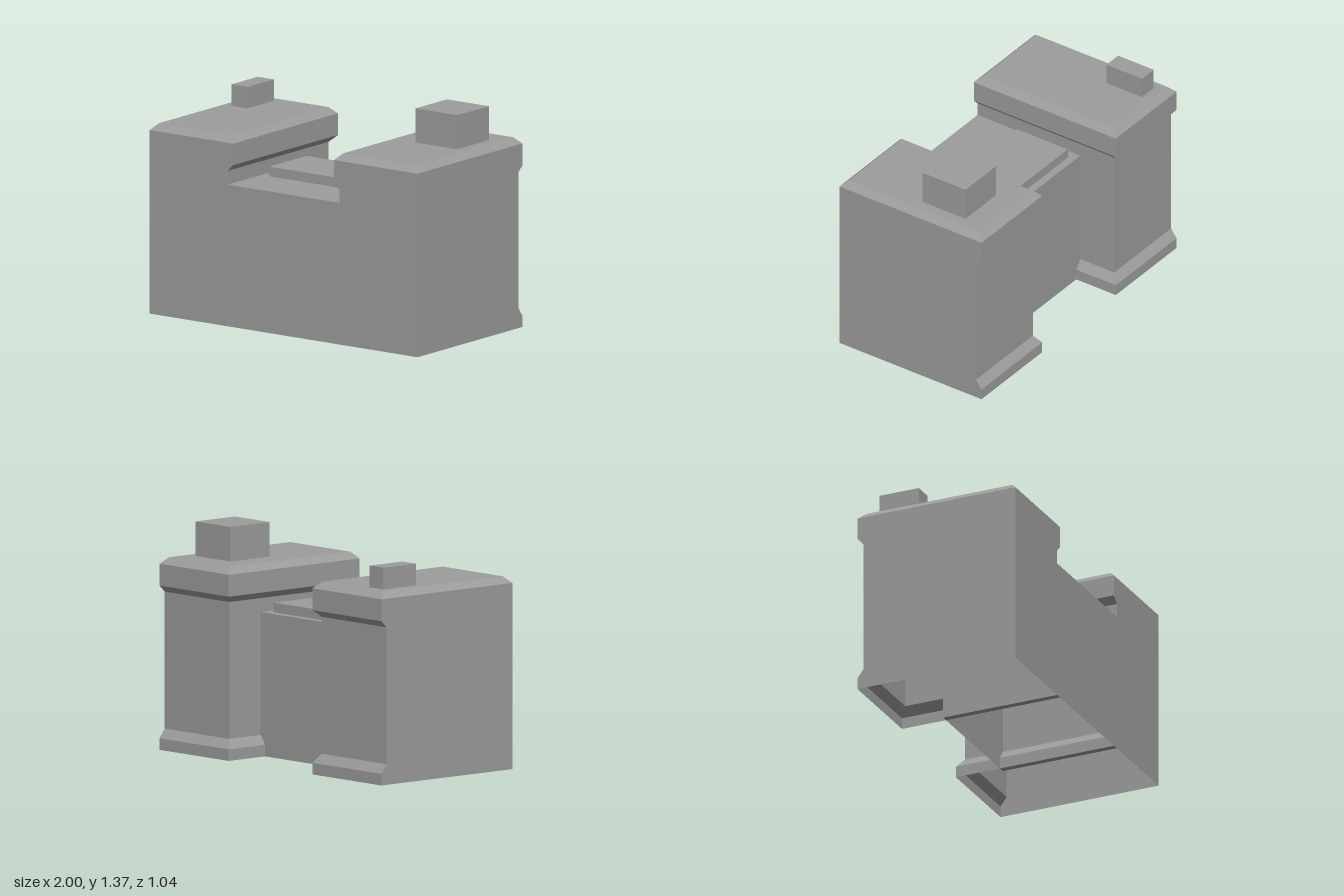
import * as THREE from 'three';

const material = new THREE.MeshStandardMaterial({ color: 0x9c9c9c, flatShading: true, side: THREE.DoubleSide });

function addMesh(parent, name, geometry, x = 0, y = 0, z = 0) {
  const mesh = new THREE.Mesh(geometry, material);
  mesh.name = name;
  mesh.position.set(x, y, z);
  parent.add(mesh);
}

// Tower levels: [height, inset of inner and back walls, inset of outer and front walls]
const levels = [
  [0, 0, 0], [0.07, 0, 0], [0.125, 0.04, 0], [0.95, 0.04, 0],
  [0.99, 0, 0], [1.122, 0, 0], [1.162, 0.04, 0.04],
];

// Hollow tower, open below, lofted through the levels; side is +1 or -1
function towerGeometry(side) {
  const positions = [];
  const rings = levels.map(([y, a, b]) => [
    [side * (0.377 + a), y, 0.521 - b],
    [side * (1 - b), y, 0.521 - b],
    [side * (1 - b), y, -0.521 + a],
    [side * (0.377 + a), y, -0.521 + a],
  ]);
  const quad = (a, b, c, d) => {
    const corners = side > 0 ? [a, b, c, a, c, d] : [a, c, b, a, d, c];
    corners.forEach((p) => positions.push(...p));
  };
  for (let i = 0; i < rings.length - 1; i++) {
    for (let j = 0; j < 4; j++) {
      const k = (j + 1) % 4;
      quad(rings[i][j], rings[i][k], rings[i + 1][k], rings[i + 1][j]);
    }
  }
  quad(...rings[rings.length - 1]);
  const geometry = new THREE.BufferGeometry();
  geometry.setAttribute('position', new THREE.Float32BufferAttribute(positions, 3));
  geometry.computeVertexNormals();
  return geometry;
}

// Box given by its limits on each axis
function addBlock(parent, name, x0, x1, y0, y1, z0, z1) {
  addMesh(parent, name, new THREE.BoxGeometry(x1 - x0, y1 - y0, z1 - z0),
    (x0 + x1) / 2, (y0 + y1) / 2, (z0 + z1) / 2);
}

export function createModel() {
  const model = new THREE.Group();
  model.name = 'building';

  addMesh(model, 'leftTower', towerGeometry(1));
  addMesh(model, 'rightTower', towerGeometry(-1));

  // Middle section between the towers: front and back walls plus roof, open below
  const middle = new THREE.Group();
  middle.name = 'middleSection';
  model.add(middle);
  const half = 0.417, height = 0.866, frontZ = 0.521, backZ = -0.231;
  const depth = frontZ - backZ, midZ = (frontZ + backZ) / 2;
  const wall = new THREE.PlaneGeometry(2 * half, height);
  addMesh(middle, 'frontWall', wall, 0, height / 2, frontZ);
  addMesh(middle, 'backWall', wall.clone().rotateY(Math.PI), 0, height / 2, backZ);
  addMesh(middle, 'middleRoof', new THREE.PlaneGeometry(2 * half, depth).rotateX(-Math.PI / 2), 0, height, midZ);
  addBlock(middle, 'roofSlab', -0.357, 0.355, height, 0.925, -0.183, 0.189);

  // Closed base trim along the middle section: lining on the tower side and underside strip
  for (const side of [-1, 1]) {
    addMesh(middle, 'trimLining', new THREE.PlaneGeometry(depth, 0.125).rotateY(side * Math.PI / 2),
      side * half, 0.0625, midZ);
    addMesh(middle, 'trimUnderside', new THREE.PlaneGeometry(0.04, depth).rotateX(Math.PI / 2),
      side * (half - 0.02), 0, midZ);
  }

  // Rooftop units
  addBlock(model, 'largeRoofUnit', 0.582, 0.894, 1.162, 1.37, -0.328, -0.014);
  addBlock(model, 'smallRoofUnit', -0.903, -0.783, 1.162, 1.293, -0.423, -0.162);

  return model;
}
